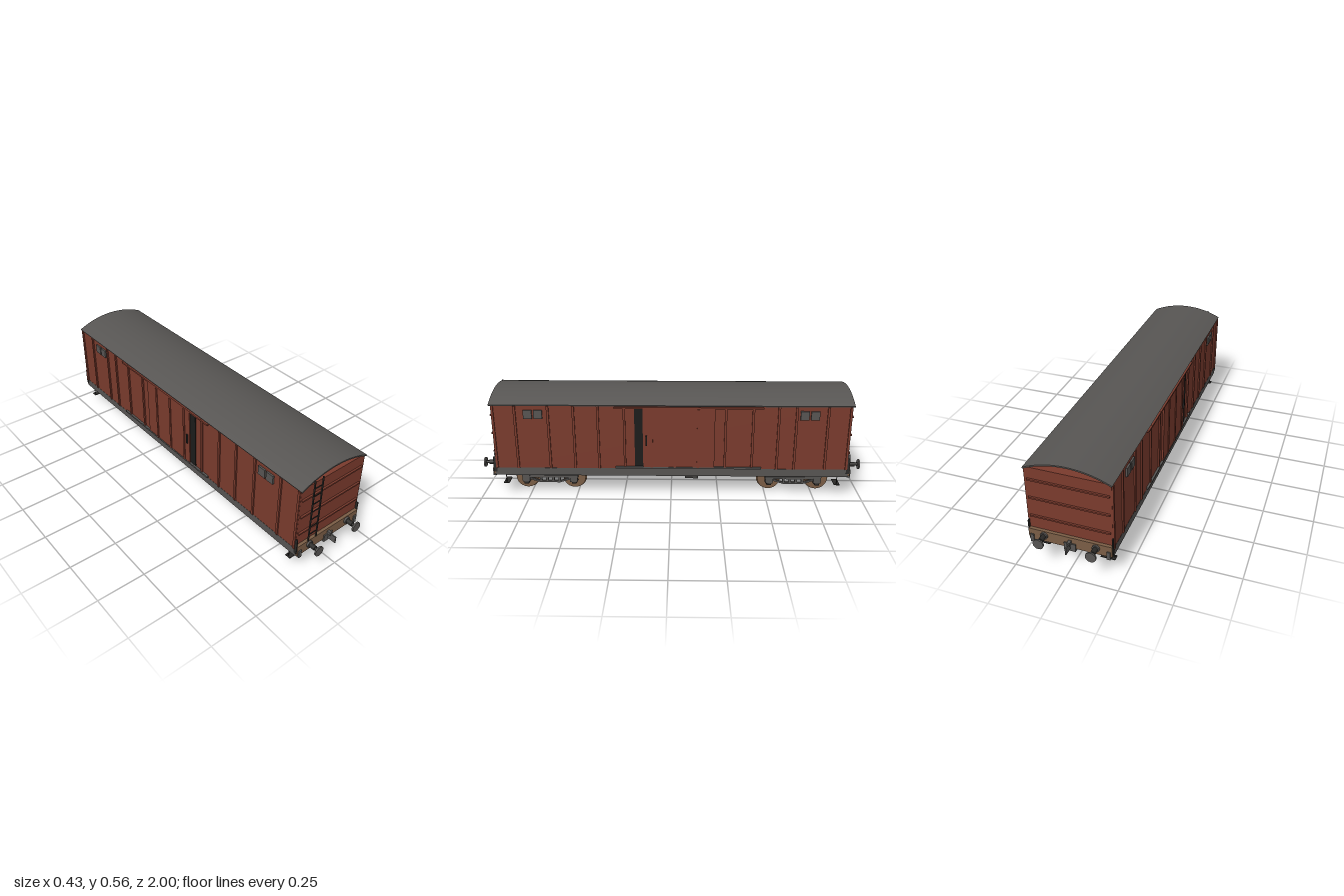
import * as THREE from 'three';

const mat = (name, color) => {
  const m = new THREE.MeshStandardMaterial({ color });
  m.name = name;
  return m;
};

export function createModel() {
  const red = mat('oxide red', 0x7a3b2d);
  const grey = mat('roof grey', 0x575553);
  const dark = mat('dark iron', 0x2a2927);
  const black = mat('door gap black', 0x1c1c1b);
  const brown = mat('rust brown', 0x7a5d45);

  const model = new THREE.Group();
  model.name = 'coveredWagon';

  // Box given by its extents on each axis
  const box = (parent, name, m, x, y, z) => {
    const mesh = new THREE.Mesh(new THREE.BoxGeometry(x[1] - x[0], y[1] - y[0], z[1] - z[0]), m);
    mesh.position.set((x[0] + x[1]) / 2, (y[0] + y[1]) / 2, (z[0] + z[1]) / 2);
    mesh.name = name;
    parent.add(mesh);
    return mesh;
  };
  // Cylinder lying along the x or z axis
  const rod = (parent, name, m, axis, r, len, p, sides = 16) => {
    const g = new THREE.CylinderGeometry(r, r, len, sides);
    if (axis === 'x') g.rotateZ(Math.PI / 2); else g.rotateX(Math.PI / 2);
    const mesh = new THREE.Mesh(g, m);
    mesh.position.set(...p);
    mesh.name = name;
    parent.add(mesh);
    return mesh;
  };
  // x extents mirrored to side s
  const mx = (s, a, b) => (s > 0 ? [a, b] : [-b, -a]);

  // Body and flat ceiling
  box(model, 'body', red, [-0.2, 0.2], [0.155, 0.507], [-0.92, 0.92]);

  // Curved roof shell, open under the arc at both ends
  const R = 0.47, cy = 0.555 - R, a = Math.asin(0.207 / R), t = 0.007;
  const arc = new THREE.Shape();
  arc.absarc(0, cy, R, Math.PI / 2 - a, Math.PI / 2 + a, false);
  arc.absarc(0, cy, R - t, Math.PI / 2 + a, Math.PI / 2 - a, true);
  const roofGeo = new THREE.ExtrudeGeometry(arc, { depth: 1.86, bevelEnabled: false, curveSegments: 20 });
  roofGeo.translate(0, 0, -0.93);
  const roof = new THREE.Mesh(roofGeo, grey);
  roof.name = 'roof';
  model.add(roof);

  // Sides: ribs, sliding door, rails, vents
  for (const s of [1, -1]) {
    const side = new THREE.Group();
    side.name = s > 0 ? 'leftSide' : 'rightSide';
    model.add(side);
    for (const z of [0.913, 0.8, 0.63, 0.5, 0.375, 0.24, -0.28, -0.42, -0.55, -0.64, -0.8, -0.913])
      box(side, 'sideRib', red, mx(s, 0.199, 0.207), [0.158, 0.5], [z - 0.006, z + 0.006]);
    box(side, 'doorGap', black, mx(s, 0.199, 0.204), [0.172, 0.49], [0.14, 0.188]);
    box(side, 'slidingDoor', red, mx(s, 0.199, 0.209), [0.165, 0.49], [-0.225, 0.145]);
    for (const z of [0.1, -0.02, -0.14])
      box(side, 'doorRib', red, mx(s, 0.208, 0.213), [0.168, 0.488], [z - 0.006, z + 0.006]);
    box(side, 'doorHandle', dark, mx(s, 0.208, 0.216), [0.29, 0.345], [0.124, 0.132]);
    box(side, 'upperRail', red, mx(s, 0.199, 0.212), [0.49, 0.499], [-0.47, 0.29]);
    box(side, 'lowerRail', grey, mx(s, 0.199, 0.211), [0.16, 0.169], [-0.47, 0.29]);
    for (const z of [0.733, 0.68, -0.68, -0.733])
      box(side, 'vent', grey, mx(s, 0.199, 0.209), [0.433, 0.479], [z - 0.022, z + 0.022]);
    box(side, 'soleBar', grey, mx(s, 0.165, 0.201), [0.115, 0.157], [-0.925, 0.925]);
  }

  // Ends: beam, ribs, buffers, coupling, steps; the rear is the front turned round
  for (const s of [1, -1]) {
    const end = new THREE.Group();
    end.name = s > 0 ? 'frontEnd' : 'rearEnd';
    if (s < 0) end.rotation.y = Math.PI;
    model.add(end);
    box(end, 'bufferBeam', brown, [-0.2, 0.2], [0.121, 0.178], [0.91, 0.935]);
    for (const y of [0.247, 0.347, 0.445])
      box(end, 'endRib', red, [-0.192, 0.192], [y - 0.004, y + 0.004], [0.919, 0.929]);
    box(end, 'couplingPlate', grey, [-0.028, 0.028], [0.108, 0.148], [0.92, 0.941]);
    box(end, 'couplingBlock', grey, [-0.007, 0.007], [0.145, 0.163], [0.93, 0.955]);
    box(end, 'couplingHook', grey, [-0.003, 0.003], [0.12, 0.156], [0.935, 0.985]);
    for (const q of [1, -1]) {
      rod(end, 'bufferBase', grey, 'z', 0.018, 0.012, [q * 0.125, 0.156, 0.938]);
      rod(end, 'bufferSleeve', dark, 'z', 0.012, 0.04, [q * 0.125, 0.156, 0.955]);
      rod(end, 'bufferShaft', dark, 'z', 0.008, 0.03, [q * 0.125, 0.156, 0.98]);
      rod(end, 'bufferHead', grey, 'z', 0.026, 0.008, [q * 0.125, 0.156, 0.996]);
      box(end, 'cornerBracket', dark, mx(q, 0.199, 0.204), [0.135, 0.22], [0.915, 0.932]);
      box(end, 'stepBracket', grey, mx(q, 0.176, 0.193), [0.109, 0.15], [0.925, 0.941]);
      box(end, 'stepHanger', dark, mx(q, 0.186, 0.189), [0.066, 0.12], [0.872, 0.876]);
      box(end, 'step', dark, mx(q, 0.125, 0.195), [0.064, 0.068], [0.86, 0.89]);
    }
  }

  // Ladder on the front end
  const ladder = new THREE.Group();
  ladder.name = 'ladder';
  model.add(ladder);
  for (const x of [-0.135, -0.085])
    box(ladder, 'ladderRail', dark, [x - 0.002, x + 0.002], [0.178, 0.537], [0.932, 0.939]);
  for (let i = 0; i < 7; i++) {
    const y = 0.219 + i * 0.0453;
    box(ladder, 'ladderRung', dark, [-0.135, -0.085], [y - 0.002, y + 0.002], [0.933, 0.937]);
  }

  // Underframe: centre sill, cross members, tank, slatted box
  const under = new THREE.Group();
  under.name = 'underframe';
  model.add(under);
  box(under, 'centreSill', grey, [-0.03, 0.03], [0.118, 0.157], [-0.915, 0.915]);
  for (const z of [-0.652, 0.652])
    box(under, 'crossMember', grey, [-0.17, 0.17], [0.116, 0.157], [z - 0.035, z + 0.035]);
  rod(under, 'airTank', grey, 'x', 0.027, 0.14, [-0.05, 0.085, 0.145]);
  box(under, 'tankHanger', dark, [-0.054, -0.046], [0.085, 0.157], [0.14, 0.15]);
  box(under, 'equipmentBox', dark, [0.022, 0.118], [0.065, 0.157], [-0.138, -0.08]);
  for (let i = 0; i < 5; i++)
    box(under, 'equipmentSlat', grey, [0.02, 0.12], [0.064 + i * 0.0095, 0.069 + i * 0.0095], [-0.145, -0.073]);

  // Two four-wheel bogies
  for (const bz of [0.652, -0.652]) {
    const bogie = new THREE.Group();
    bogie.name = bz > 0 ? 'frontBogie' : 'rearBogie';
    bogie.position.z = bz;
    model.add(bogie);
    box(bogie, 'bolster', grey, [-0.148, 0.148], [0.092, 0.11], [-0.025, 0.025]);
    box(bogie, 'bolsterBeam', grey, [-0.12, 0.12], [0.062, 0.112], [-0.035, 0.035]);
    rod(bogie, 'pivot', dark, 'x', 0.02, 0.05, [0, 0.105, 0]);
    for (const w of [0.128, -0.128]) {
      rod(bogie, 'axle', dark, 'x', 0.009, 0.27, [0, 0.065, w], 12);
      for (const q of [1, -1]) {
        rod(bogie, 'wheel', brown, 'x', 0.06, 0.016, [q * 0.105, 0.065, w], 24);
        rod(bogie, 'wheelFlange', brown, 'x', 0.065, 0.004, [q * 0.097, 0.065, w], 24);
        box(bogie, 'axleBox', grey, mx(q, 0.126, 0.151), [0.052, 0.09], [w - 0.02, w + 0.02]);
        box(bogie, 'axleBoxKeeper', dark, mx(q, 0.129, 0.147), [0.04, 0.053], [w - 0.012, w + 0.012]);
      }
    }
    for (const q of [1, -1]) {
      box(bogie, 'frameTop', grey, mx(q, 0.128, 0.146), [0.074, 0.088], [-0.15, 0.15]);
      box(bogie, 'frameBottom', grey, mx(q, 0.13, 0.144), [0.046, 0.055], [-0.055, 0.055]);
      for (const z of [-0.05, -0.016, 0.016, 0.05])
        box(bogie, 'framePost', grey, mx(q, 0.13, 0.144), [0.05, 0.08], [z - 0.006, z + 0.006]);
      for (const d of [1, -1]) {
        const brace = box(bogie, 'frameBrace', grey, mx(q, 0.131, 0.143), [0.055, 0.064], [-0.035, 0.035]);
        brace.position.z = d * 0.083;
        brace.rotation.x = d * -0.3;
      }
    }
  }
  return model;
}
